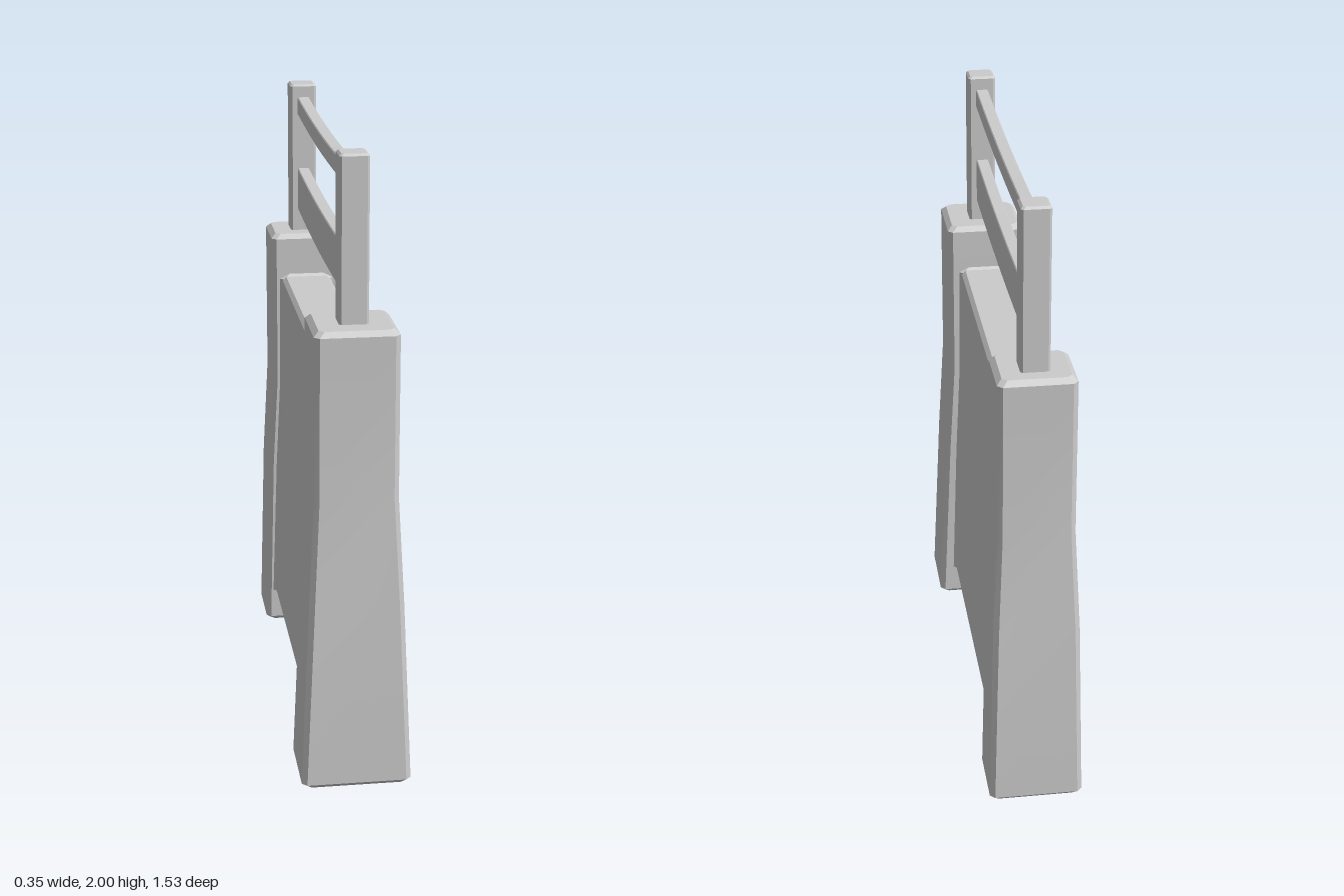
import * as THREE from 'three';
import { toCreasedNormals } from 'three/addons/utils/BufferGeometryUtils.js';

const material = new THREE.MeshStandardMaterial({ color: 0xcccccc });

// Maps (a, b, along) so that a x b points along the loft axis
const AXES = {
  y: (a, b, t) => [b, t, a], // a = z, b = x
  z: (a, b, t) => [a, b, t], // a = x, b = y
};

// Rectangle with cut corners, counter-clockwise
function cutRectangle({ a0, a1, b0, b1, cut }) {
  return [
    [a0 + cut, b0], [a1 - cut, b0], [a1, b0 + cut], [a1, b1 - cut],
    [a1 - cut, b1], [a0 + cut, b1], [a0, b1 - cut], [a0, b0 + cut],
  ];
}

// Skins a row of cut-corner sections and closes both ends
function loft(name, axis, sections) {
  const rings = sections.map((s) => cutRectangle(s).map(([a, b]) => AXES[axis](a, b, s.t)));
  const n = 8, index = [];
  for (let r = 0; r < rings.length - 1; r++) {
    for (let i = 0; i < n; i++) {
      const j = (i + 1) % n, l = r * n, u = l + n;
      index.push(l + i, l + j, u + j, l + i, u + j, u + i);
    }
  }
  const last = (rings.length - 1) * n;
  for (let i = 1; i < n - 1; i++) {
    index.push(0, i + 1, i, last, last + i, last + i + 1);
  }
  const geometry = new THREE.BufferGeometry();
  geometry.setAttribute('position', new THREE.Float32BufferAttribute(rings.flat(2), 3));
  geometry.setIndex(index);
  const mesh = new THREE.Mesh(toCreasedNormals(geometry, 0.35), material);
  mesh.name = name;
  return mesh;
}

// Upright with bevelled ends; rows are [y, half width in x, z min, z max]
function upright(name, rows, bevel) {
  const section = ([y, hx, z0, z1], inset = 0, dy = 0) => ({
    t: y + dy, a0: z0 + inset, a1: z1 - inset, b0: -hx + inset, b1: hx - inset, cut: bevel,
  });
  const first = rows[0], last = rows[rows.length - 1];
  return loft(name, 'y', [
    section(first, bevel),
    section(first, 0, bevel),
    ...rows.slice(1, -1).map((r) => section(r)),
    section(last, 0, -bevel),
    section(last, bevel),
  ]);
}

// Thin rail sagging slightly towards the middle
function rail(name, yBottom, yTop) {
  const z0 = -0.62, z1 = 0.6, sag = 0.016, steps = 10;
  const sections = [];
  for (let i = 0; i <= steps; i++) {
    const k = i / steps, drop = sag * 4 * k * (1 - k);
    sections.push({
      t: z0 + (z1 - z0) * k, a0: -0.02, a1: 0.02,
      b0: yBottom - drop, b1: yTop - drop, cut: 0.003,
    });
  }
  return loft(name, 'z', sections);
}

export function createModel() {
  const model = new THREE.Group();
  model.name = 'panelWithRails';

  // Tapered, slightly kinked pillars
  const frontRows = [
    [0.01, 0.173, 0.503, 0.765],
    [0.62, 0.147, 0.5, 0.755],
    [0.96, 0.13, 0.48, 0.733],
    [1.49, 0.129, 0.487, 0.737],
  ];
  const backRows = [
    [0, 0.15, -0.766, -0.538],
    [0.62, 0.136, -0.755, -0.536],
    [0.96, 0.121, -0.732, -0.514],
    [1.485, 0.121, -0.738, -0.518],
  ];
  model.add(upright('frontPillar', frontRows, 0.016));
  model.add(upright('backPillar', backRows, 0.016));

  // Panel between the pillars, tapering with them
  const panelRows = [[0.117, 0.115], [0.62, 0.099], [0.96, 0.086], [1.335, 0.085]];
  model.add(upright('panel', panelRows.map(([y, hx]) => [y, hx, -0.6, 0.57]), 0.013));

  // Raised collars where the panel meets each pillar
  const flare = 0.012, rise = [-flare, 0, 0, flare];
  model.add(upright('frontCollar', panelRows.map(([y, hx], i) => {
    const inner = frontRows[i][2];
    return [y + rise[i], hx + flare, inner - 0.018, inner + 0.1];
  }), 0.02));
  model.add(upright('backCollar', panelRows.map(([y, hx], i) => {
    const inner = backRows[i][3];
    return [y + rise[i], hx + flare, inner - 0.1, inner + 0.018];
  }), 0.02));

  // Slim posts on the pillars
  for (const [name, z] of [['frontPost', 0.61], ['backPost', -0.633]]) {
    model.add(upright(name, [[1.47, 0.045, z - 0.045, z + 0.045], [2, 0.045, z - 0.045, z + 0.045]], 0.007));
  }

  // Rails between the posts
  model.add(rail('topRail', 1.897, 1.957));
  model.add(rail('lowerRail', 1.561, 1.708));

  return model;
}
